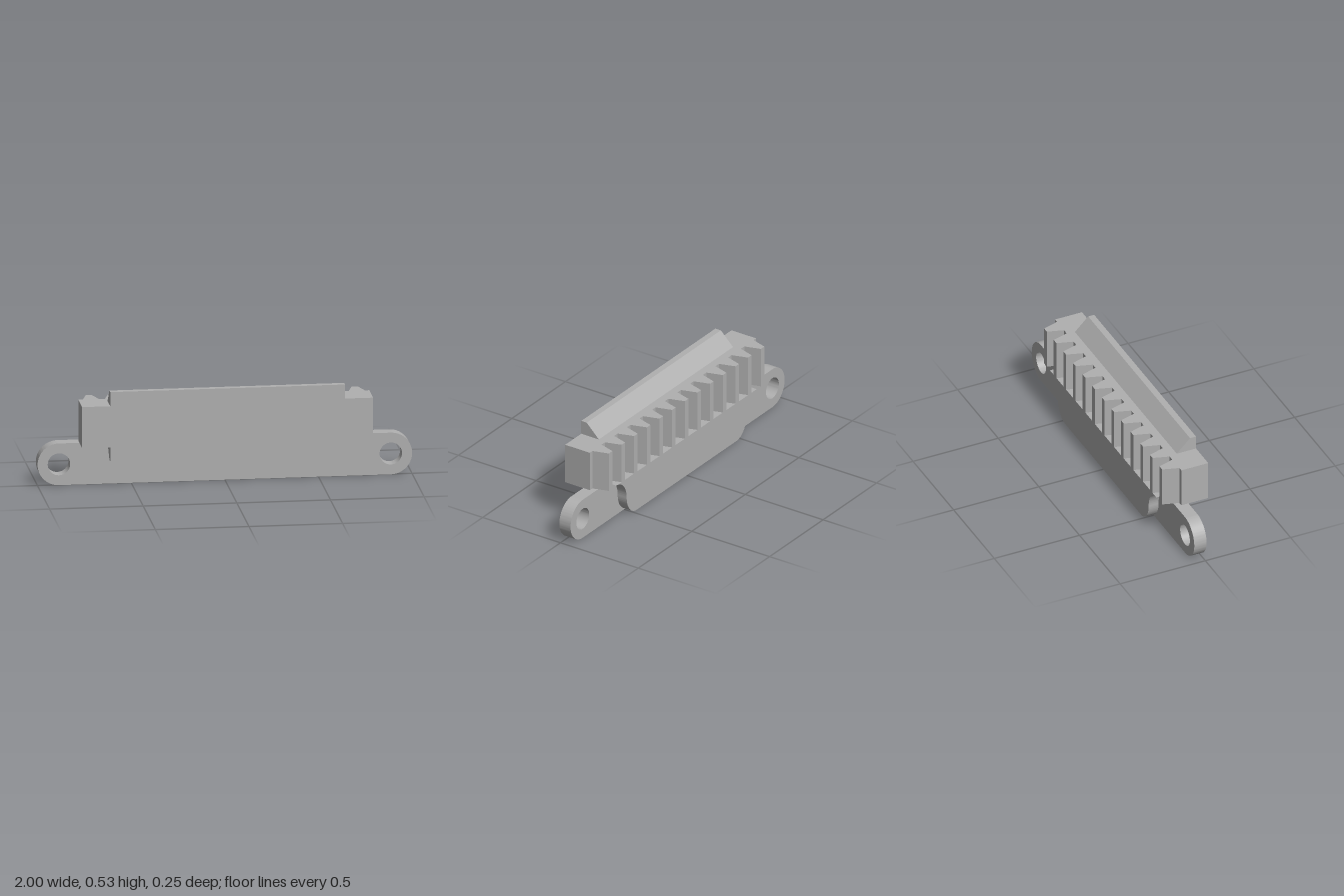
import * as THREE from 'three';
import { toCreasedNormals } from 'three/addons/utils/BufferGeometryUtils.js';

export function createModel() {
  const group = new THREE.Group();
  group.name = 'toothedRack';
  const grey = new THREE.MeshStandardMaterial({ color: 0xb0b0b0 });
  grey.name = 'plainGrey';

  const shapeOf = (pts) => new THREE.Shape(pts.map(([x, y]) => new THREE.Vector2(x, y)));
  const extrude = (shape, depth) =>
    new THREE.ExtrudeGeometry(shape, { depth, bevelEnabled: false, curveSegments: 24 });
  const add = (name, geometry) => {
    const mesh = new THREE.Mesh(toCreasedNormals(geometry, 0.5), grey);
    mesh.name = name;
    group.add(mesh);
  };

  const R = 0.114, holeX = 0.886, H = 2 * R, top = 0.453;

  // mounting flange with rounded ends and two screw holes
  const flange = new THREE.Shape();
  flange.moveTo(-holeX, 0);
  flange.lineTo(holeX, 0);
  flange.absarc(holeX, R, R, -Math.PI / 2, Math.PI / 2, false);
  flange.lineTo(-holeX, H);
  flange.absarc(-holeX, R, R, Math.PI / 2, Math.PI * 1.5, false);
  for (const s of [-1, 1]) {
    const hole = new THREE.Path();
    hole.absarc(s * holeX, R, 0.06, 0, Math.PI * 2, true);
    flange.holes.push(hole);
  }
  add('mountingFlange', extrude(flange, 0.072).translate(0, 0, -0.065));

  // thick back pad with S-curved ends
  const w = 0.095, mid = 0.56;
  const pad = new THREE.Shape();
  pad.moveTo(-mid + w, 0);
  pad.lineTo(mid - w, 0);
  pad.absellipse(mid - w, R, w, R, -Math.PI / 2, 0, false);
  pad.absellipse(mid + w, R, w, R, Math.PI, Math.PI / 2, true);
  pad.lineTo(-mid - w, H);
  pad.absellipse(-mid - w, R, w, R, Math.PI / 2, 0, true);
  pad.absellipse(-mid + w, R, w, R, Math.PI, Math.PI * 1.5, false);
  add('backPad', extrude(pad, 0.058).translate(0, 0, -0.123));

  // rack body and teeth as one plan outline (x, -z), extruded upward
  const teeth = 13, pitch = 0.1183, tip = 0.0165, root = 0.043;
  const plan = [[0.777, -0.123], [0.777, 0.035]];
  for (let i = teeth - 1; i >= 0; i--) {
    const x = (i - (teeth - 1) / 2) * pitch;
    plan.push([x + root, 0.035], [x + tip, 0.123], [x - tip, 0.123], [x - root, 0.035]);
  }
  plan.push([-0.777, 0.035], [-0.777, -0.123]);
  add('toothedBody', extrude(shapeOf(plan), top - H).rotateX(-Math.PI / 2).translate(0, H, 0));

  // dovetail ridges above and below the body, profile in (z, y)
  const ridge = (name, base, edge) => {
    const profile = shapeOf([[0.123, base], [0.123, edge], [0.088, edge], [0.01, base]]);
    add(name, extrude(profile, 1.254).rotateY(-Math.PI / 2).translate(0.627, 0, 0));
  };
  ridge('upperRidge', top, 0.53);
  ridge('lowerRidge', H, 0.152);

  return group;
}
